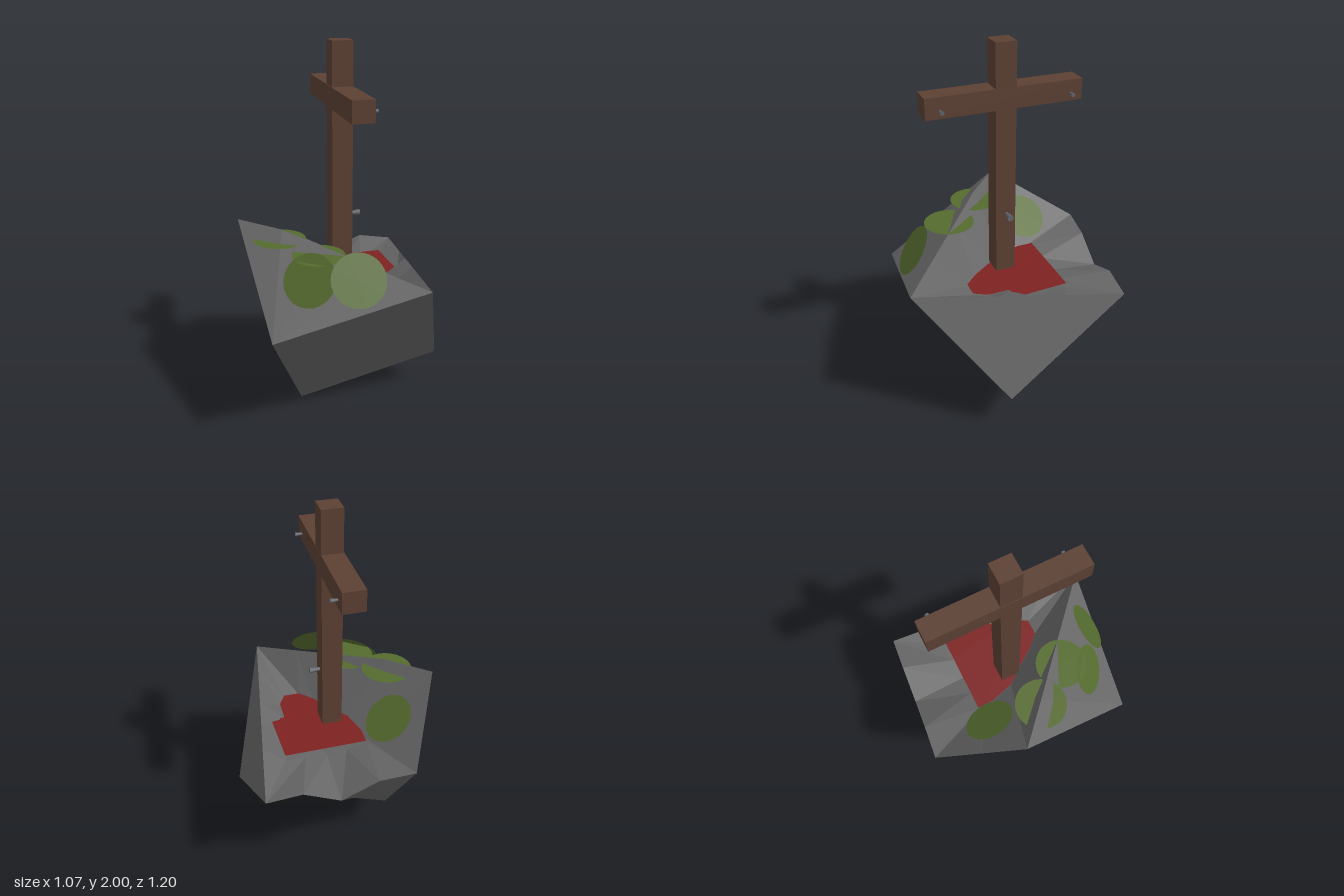
import * as THREE from 'three';

const V = (a) => new THREE.Vector3(...a);
const mat = (name, color, side = THREE.FrontSide) => {
  const m = new THREE.MeshStandardMaterial({ color, side });
  m.name = name;
  return m;
};

// Faceted geometry from a list of triangles and fans
function facets(polys) {
  const pos = [];
  for (const p of polys)
    for (let i = 1; i < p.length - 1; i++) pos.push(...p[0], ...p[i], ...p[i + 1]);
  const g = new THREE.BufferGeometry();
  g.setAttribute('position', new THREE.Float32BufferAttribute(pos, 3));
  g.computeVertexNormals();
  return g;
}

export function createModel() {
  const model = new THREE.Group();
  const rock = mat('rock grey', 0x666666);
  const wood = mat('wood brown', 0x5c4033);
  const leaf = mat('leaf green', 0x556b2f, THREE.DoubleSide);
  const red = mat('pool red', 0x7d2222, THREE.DoubleSide);
  const iron = mat('nail grey', 0x62646a);

  const add = (name, geo, material, x = 0, y = 0, z = 0) => {
    const m = new THREE.Mesh(geo, material);
    m.name = name;
    m.position.set(x, y, z);
    model.add(m);
    return m;
  };
  const mix = (a, b, t) => V(a).lerp(V(b), t).toArray();

  // Corners of the tilted boulder
  const A = [-0.48, 0.64, 0.51], B = [0.30, 0.86, 0.60];
  const C = [0.53, 0.23, 0.15], D = [-0.25, 0, 0.06];
  const E = [-0.535, 1.05, -0.16], F = [0.47, 0.69, -0.53];
  const G = [-0.30, 0.77, -0.60], H = [-0.27, 0.23, -0.27];
  const R1 = [-0.33, 1.04, 0.03];
  const ridge = [E, R1, mix(R1, B, 0.33), mix(R1, B, 0.67), B];
  const back = [G, [-0.11, 0.745, -0.58], [0.085, 0.64, -0.565], [0.28, 0.72, -0.547], F];

  add('boulderSides', facets([
    [A, D, C, B], [B, C, F], [A, E, G, H, D], [A, ...[...ridge].reverse()],
  ]), rock);

  // Underside, three rows of points from the lowest edge to the back rim
  const line = (a, b) => [0, 0.25, 0.5, 0.75, 1].map((t) => mix(a, b, t));
  const rows = [line(D, C), line(H, mix(C, F, 0.5)), back];
  const under = [];
  for (let r = 0; r < 2; r++)
    for (let c = 0; c < 4; c++) {
      const [p, q, s, t] = [rows[r][c], rows[r + 1][c], rows[r + 1][c + 1], rows[r][c + 1]];
      under.push([p, q, s], [p, s, t]);
    }
  add('boulderUnderside', facets(under), rock);

  // Hollow in the top: rim joined to the floor outline
  const rim = [
    ...ridge, ...[0.17, 0.4, 0.55, 0.7].map((t) => mix(B, F, t)),
    F, back[3], back[2], back[1], G, mix(G, E, 0.5),
  ];
  const floor = [
    [-0.14, 0.72, -0.17], [-0.10, 0.72, -0.03], [-0.05, 0.72, 0.03], [0.05, 0.72, 0.17],
    [0.12, 0.72, 0.24], [0.21, 0.72, 0.24], [0.25, 0.72, 0.17], [0.25, 0.72, 0.05],
    [0.325, 0.72, 0.04], [0.31, 0.70, -0.26], [0.20, 0.69, -0.26], [0.08, 0.67, -0.26],
    [-0.03, 0.69, -0.26], [-0.14, 0.72, -0.26], [-0.14, 0.72, -0.22],
  ];
  const hollow = [];
  rim.forEach((p, i) => {
    const j = (i + 1) % rim.length;
    hollow.push([p, rim[j], floor[j]], [p, floor[j], floor[i]]);
    hollow.push([floor[i], floor[j], [0.1, 0.66, -0.05]]);
  });
  add('boulderHollow', facets(hollow), rock);

  // Red pool lying in the hollow
  const pool = new THREE.ShapeGeometry(
    new THREE.Shape(floor.map(([x, , z]) => new THREE.Vector2(x, -z))));
  pool.rotateX(-Math.PI / 2);
  add('redPool', pool, red, 0, 0.73, 0);

  // Wooden cross
  add('post', new THREE.BoxGeometry(0.11, 1.3, 0.11), wood, 0, 1.35, -0.01);
  add('crossbar', new THREE.BoxGeometry(0.114, 0.11, 0.83), wood, -0.001, 1.72, -0.01);

  // Nails, widening towards the head
  for (const [y, z, len, r] of [
    [1.705, 0.33, 0.045, 0.011], [1.705, -0.36, 0.045, 0.011], [1.08, -0.015, 0.065, 0.017],
  ]) {
    const g = new THREE.CylinderGeometry(r, r * 0.5, len, 10);
    g.rotateZ(-Math.PI / 2);
    add('nail', g, iron, 0.047 + len / 2, y, z);
  }

  // Round leaves: centre and facing direction
  for (const [c, n] of [
    [[-0.04, 0.915, 0.485], [-0.1, 0.55, 0.82]],
    [[-0.26, 0.89, 0.37], [-0.5, 0.54, 0.68]],
    [[-0.34, 0.985, 0.025], [0, 1, 0]],
    [[-0.18, 0.96, 0.235], [0, 1, 0]],
    [[-0.262, 0.855, -0.247], [0.6, 0.79, -0.13]],
  ]) {
    const m = add('leaf', new THREE.CircleGeometry(0.139, 40), leaf, ...c);
    m.quaternion.setFromUnitVectors(new THREE.Vector3(0, 0, 1), V(n).normalize());
  }
  return model;
}
